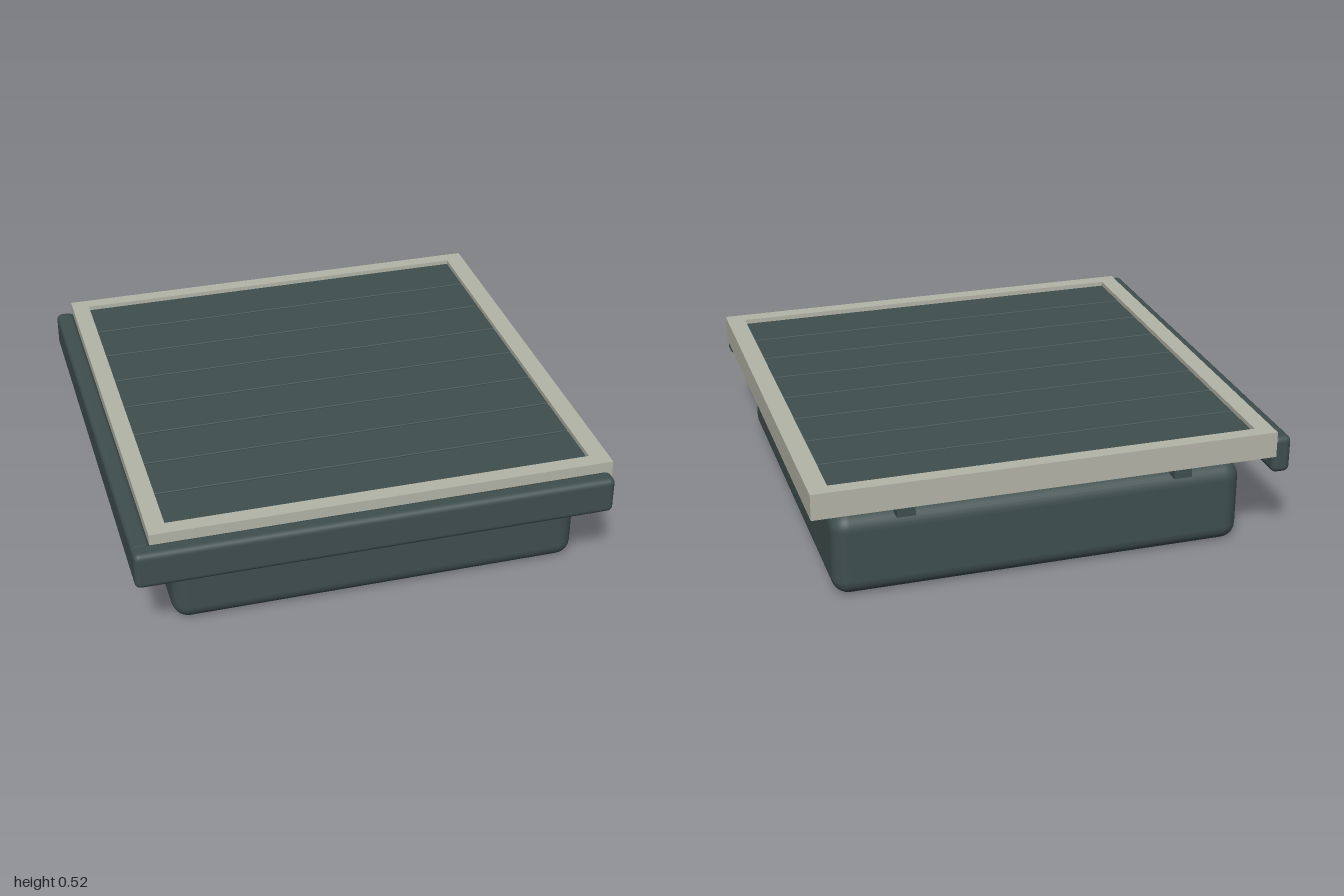
import * as THREE from 'three';
import { RoundedBoxGeometry } from 'three/addons/geometries/RoundedBoxGeometry.js';

export function createModel() {
  const model = new THREE.Group();
  const darkTeal = new THREE.MeshStandardMaterial({ color: 0x3f4f4e });
  darkTeal.name = 'darkTeal';
  const paleGrey = new THREE.MeshStandardMaterial({ color: 0xb4b5a8 });
  paleGrey.name = 'paleGrey';

  // Box given by its extents on each axis; a radius rounds its edges
  function block(name, material, [x0, x1], [y0, y1], [z0, z1], radius = 0) {
    const size = [x1 - x0, y1 - y0, z1 - z0];
    const geometry = radius
      ? new RoundedBoxGeometry(...size, 4, radius)
      : new THREE.BoxGeometry(...size);
    const mesh = new THREE.Mesh(geometry, material);
    mesh.name = name;
    mesh.position.set((x0 + x1) / 2, (y0 + y1) / 2, (z0 + z1) / 2);
    model.add(mesh);
  }

  // Float under the deck
  block('float', darkTeal, [-0.825, 0.9], [0, 0.355], [-0.91, 0.835], 0.07);

  // Rounded bumpers along the front and one side
  block('frontBumper', darkTeal, [-1, 0.985], [0.33, 0.49], [0.92, 1], 0.025);
  block('sideBumper', darkTeal, [-1, -0.92], [0.33, 0.49], [-0.985, 0.95], 0.025);

  // Pale frame around the deck
  const railY = [0.415, 0.525];
  block('rightSideRail', paleGrey, [-0.925, -0.85], railY, [-1, 0.92]);
  block('leftSideRail', paleGrey, [0.92, 1], railY, [-1, 0.92]);
  block('frontRail', paleGrey, [-0.85, 0.92], railY, [0.855, 0.92]);
  block('backRail', paleGrey, [-0.85, 0.92], railY, [-1, -0.94]);

  // Deck planks with narrow gaps
  const pitch = 0.2247, gap = 0.007;
  for (let i = 0; i < 8; i++) {
    const z = -0.94 + i * pitch;
    block('plank' + (i + 1), darkTeal, [-0.85, 0.92], [0.45, 0.508],
      [z, Math.min(z + pitch - gap, 0.855)], 0.004);
  }

  // Joists crossing beneath the planks
  for (const z of [-0.74, -0.035, 0.67]) {
    block('crossJoist', darkTeal, [-0.85, 0.92], [0.375, 0.452], [z - 0.038, z + 0.038]);
  }
  for (const x of [-0.55, 0.61]) {
    block('longJoist', darkTeal, [x - 0.038, x + 0.038], [0.34, 0.451], [-0.93, 0.858]);
  }

  return model;
}
